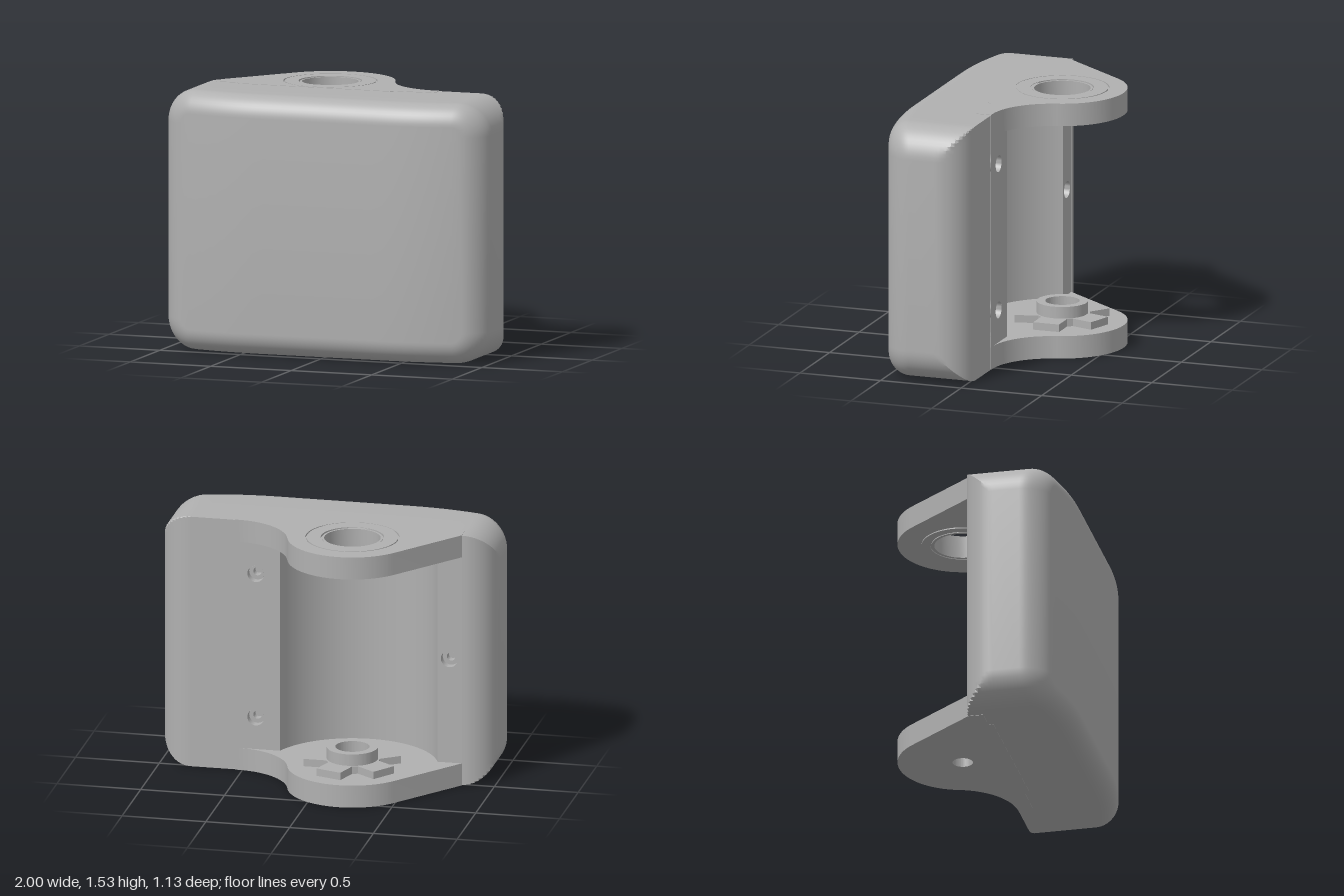
import * as THREE from 'three';
import { toCreasedNormals } from 'three/addons/utils/BufferGeometryUtils.js';

const HUB_X = -0.195, HUB_Z = -0.19, BACK = -0.02, TOP = 1.535, ARM = 0.135, BORE = 0.5;
const BORE_HALF = Math.sqrt(BORE ** 2 - (BACK - HUB_Z) ** 2);

export function createModel() {
  const root = new THREE.Group();
  const grey = new THREE.MeshStandardMaterial({ color: 0xb0b0b0, side: THREE.DoubleSide });
  grey.name = 'plain grey';
  const add = (name, geo, x = 0, y = 0, z = 0) => {
    const m = new THREE.Mesh(geo, grey);
    m.name = name;
    m.position.set(x, y, z);
    root.add(m);
    return m;
  };
  const creased = (g) => toCreasedNormals(g, 0.5);
  const circle = (r, x = 0, y = 0) => new THREE.Path().absarc(x, y, r, 0, Math.PI * 2, true);
  // Extrude a plan shape (x, z) downwards from height y
  const slab = (shape, depth) => creased(
    new THREE.ExtrudeGeometry(shape, { depth, bevelEnabled: false, curveSegments: 48 }).rotateX(Math.PI / 2));

  add('cushionShell', creased(shellGeometry()));

  // Flat back panel and mounting strips with screw holes
  const panel = (name, x0, x1, holes = []) => {
    const s = new THREE.Shape([[x0, 0.002], [x1, 0.002], [x1, TOP - 0.002], [x0, TOP - 0.002]]
      .map(([x, y]) => new THREE.Vector2(x, y)));
    holes.forEach(([x, y]) => s.holes.push(circle(0.05, x, y)));
    const g = new THREE.ShapeGeometry(s, 32).rotateY(Math.PI);
    g.scale(-1, 1, 1);
    // restore the outward winding after mirroring
    const idx = g.index.array;
    for (let i = 0; i < idx.length; i += 3) [idx[i], idx[i + 1]] = [idx[i + 1], idx[i]];
    g.computeVertexNormals();
    add(name, g, 0, 0, BACK);
  };
  const leftHoles = [[0.42, 0.33], [0.42, 1.21]], rightHoles = [[-0.735, 0.77]];
  panel('backPanel', 0.557, 0.81);
  panel('leftMountStrip', HUB_X + BORE_HALF, 0.545, leftHoles);
  panel('rightMountStrip', -0.798, HUB_X - BORE_HALF, rightHoles);

  // Narrow seams beside the bracket
  for (const x of [0.551, -0.804])
    add('bracketSeam', new THREE.BoxGeometry(0.012, TOP - 0.01, 0.09), x, TOP / 2, BACK + 0.048);

  // Counterbored screw seats
  const seat = [[0, -0.1], [0.025, -0.1], [0.025, -0.05], [0.05, -0.05], [0.05, 0]]
    .map(([x, y]) => new THREE.Vector2(x, y));
  for (const [x, y] of [...leftHoles, ...rightHoles])
    add('screwSeat', creased(new THREE.LatheGeometry(seat, 32).rotateX(-Math.PI / 2)), x, y, BACK);

  // Cylindrical hollow and its floor and ceiling
  const half = Math.asin(BORE_HALF / BORE);
  add('hollowWall', new THREE.CylinderGeometry(BORE, BORE, TOP - 2 * ARM, 48, 1, true, -half, 2 * half),
    HUB_X, TOP / 2, HUB_Z);
  const segment = new THREE.Shape().absarc(0, 0, BORE, Math.PI / 2 - half, Math.PI / 2 + half, false);
  add('hollowFloor', slab(segment, 0.1), HUB_X, ARM, HUB_Z);
  add('hollowCeiling', slab(segment, 0.1), HUB_X, TOP - ARM + 0.1, HUB_Z);

  // Bracket arms: main slab, and a top layer with a ring groove
  const plan = (r) => {
    const s = armShape();
    s.holes.push(circle(r, HUB_X, HUB_Z));
    return s;
  };
  const ring = (outer, inner) => {
    const s = new THREE.Shape().absarc(0, 0, outer, 0, Math.PI * 2, false);
    s.holes.push(circle(inner));
    return s;
  };
  add('lowerArm', slab(plan(0.06), ARM), 0, ARM, 0);
  add('upperArm', slab(plan(0.165), ARM - 0.012), 0, TOP - 0.012, 0);
  add('upperArmFace', slab(plan(0.275), 0.012), 0, TOP, 0);
  add('bearingFace', slab(ring(0.267, 0.185), 0.012), HUB_X, TOP, HUB_Z);
  add('bearingLip', slab(ring(0.178, 0.165), 0.008), HUB_X, TOP - 0.004, HUB_Z);
  add('bearingUnderside', slab(ring(0.24, 0.19), 0.012), HUB_X, TOP - ARM + 0.005, HUB_Z);
  add('bearingUnderLip', slab(ring(0.182, 0.165), 0.012), HUB_X, TOP - ARM + 0.005, HUB_Z);

  // Five-lobed drive star and hub on the lower arm
  const star = new THREE.Shape();
  for (let i = 0; i < 5; i++) {
    const a = i * Math.PI * 0.4, c = Math.cos(a), s = Math.sin(a);
    for (const [u, v] of [[0.14, -0.08], [0.275, -0.08], [0.275, 0.08], [0.14, 0.08]]) {
      const p = [u * c - v * s, u * s + v * c];
      if (i === 0 && u === 0.14 && v < 0) star.moveTo(...p); else star.lineTo(...p);
    }
  }
  star.holes.push(circle(0.1));
  add('driveStar', slab(star, 0.05), HUB_X, 0.18, HUB_Z);
  add('driveHub', slab(ring(0.15, 0.1), 0.12), HUB_X, 0.25, HUB_Z);

  return root;
}

// Plan of a bracket arm: straight flank, round end, concave flank, stepped tongue
function armShape() {
  const s = new THREE.Shape();
  s.moveTo(-0.81, 0.07);
  s.lineTo(-0.81, BACK);
  s.absarc(HUB_X, HUB_Z, 0.38, 3.803, 6.011, false);
  s.absarc(0.53, -0.393, 0.373, 2.869, Math.PI / 2, true);
  for (const [x, z] of [[0.545, BACK], [0.545, 0.07], [0.3, 0.07], [0.28, 0.1], [-0.66, 0.1], [-0.68, 0.07]])
    s.lineTo(x, z);
  s.closePath();
  return s;
}

// Rounded slab: loops from the back edge round to the bowed front, then the front face
function shellGeometry() {
  const R = 0.19, F = 0.13, N = 12, E = 24, lo = 0.002, hi = TOP - 0.002;
  const bow = (x) => 0.565 - 0.3 * Math.max(0, Math.abs(x) - 0.4) ** 2;
  const outline = (inset) => {
    const r = R - inset, up = [];
    for (let i = 0; i <= N; i++) {
      const a = (i / N) * Math.PI / 2;
      up.push([1 - R + r * Math.cos(a), hi - R + r * Math.sin(a)]);
    }
    for (let i = 1; i < E; i++) up.push([(1 - R) * (1 - 2 * i / E), hi - inset]);
    for (let i = 0; i <= N; i++) up.push([-up[N - i][0], up[N - i][1]]);
    return [...up, ...up.map(([x, y]) => [x, lo + hi - y]).reverse()];
  };
  const pos = [], idx = [];
  let loops = 0;
  // rounded vertical back edges
  for (let k = 0; k <= N; k++, loops++) {
    const a = (k / N) * Math.PI / 2, w = 1 - R + R * Math.sin(a);
    for (const [x, y] of outline(0))
      pos.push(THREE.MathUtils.clamp(x, -w, w), y, BACK + R * (1 - Math.cos(a)));
  }
  // rounded front rim
  for (let k = 0; k <= N; k++, loops++) {
    const a = (k / N) * Math.PI / 2;
    for (const [x, y] of outline(F * (1 - Math.cos(a))))
      pos.push(x, y, bow(x) - F * (1 - Math.sin(a)));
  }
  const n = pos.length / 3 / loops;
  const quad = (a, b, c, d) => idx.push(a, b, c, a, c, d);
  for (let k = 0; k < loops - 1; k++)
    for (let i = 0; i < n; i++) {
      const j = (i + 1) % n;
      quad(k * n + i, k * n + j, (k + 1) * n + j, (k + 1) * n + i);
    }
  // front face strips
  const o = (loops - 1) * n;
  for (let i = 0; i < n / 2 - 1; i++) quad(o + i, o + i + 1, o + n - 2 - i, o + n - 1 - i);
  const g = new THREE.BufferGeometry();
  g.setAttribute('position', new THREE.Float32BufferAttribute(pos, 3));
  g.setIndex(idx);
  g.computeVertexNormals();
  return g;
}
